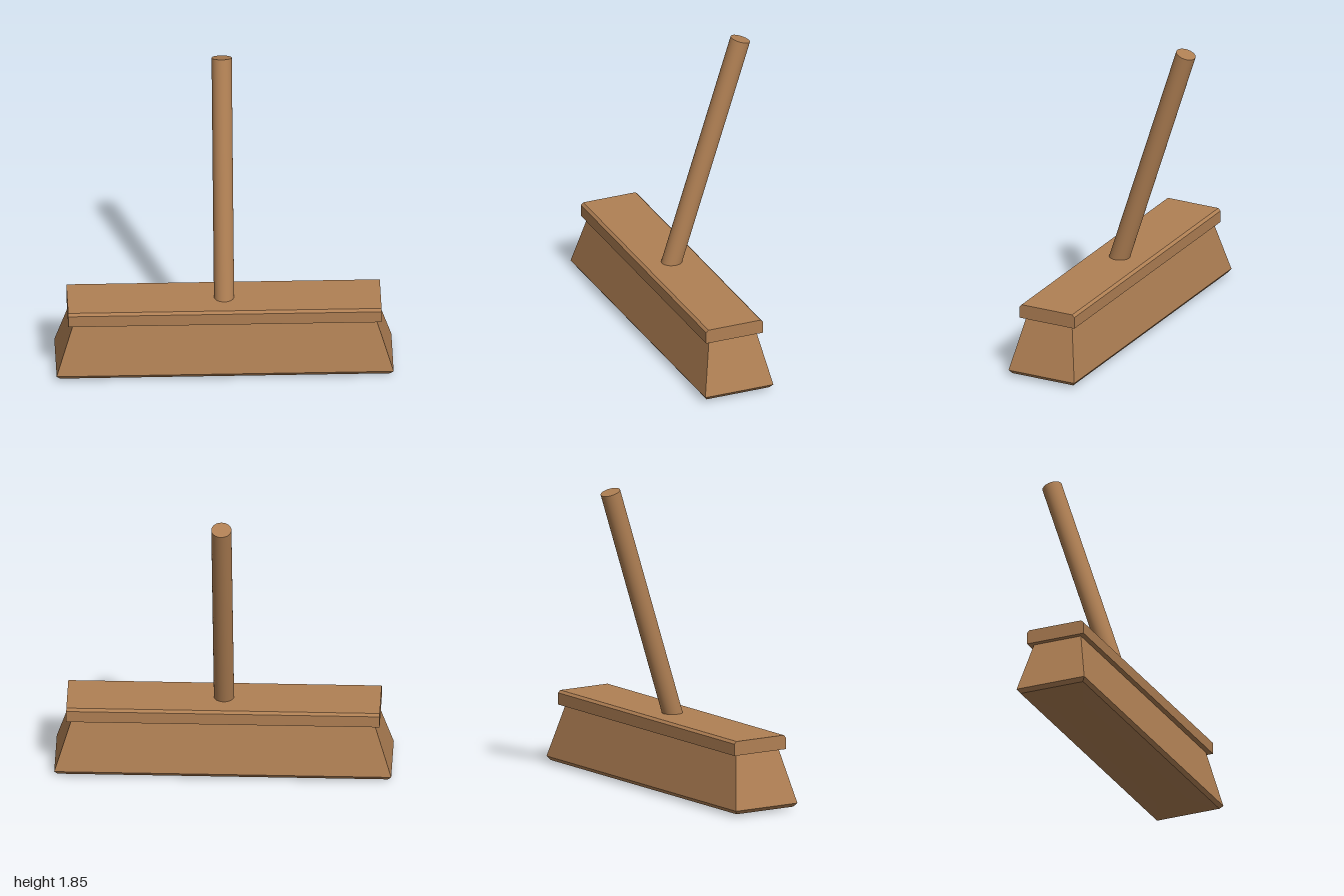
import * as THREE from 'three';

// Closed solid from rectangular rings [y, halfX, halfZ], listed bottom to top
function ringSolid(rings) {
  const pos = [];
  const loops = rings.map(([y, a, b]) => [[-a, y, b], [a, y, b], [a, y, -b], [-a, y, -b]]);
  const quad = (a, b, c, d) => pos.push(...a, ...b, ...c, ...a, ...c, ...d);
  for (let i = 0; i < loops.length - 1; i++) {
    const lo = loops[i], hi = loops[i + 1];
    for (let k = 0; k < 4; k++) {
      const n = (k + 1) % 4;
      quad(lo[k], lo[n], hi[n], hi[k]);
    }
  }
  const top = loops[loops.length - 1], bottom = loops[0];
  quad(top[0], top[1], top[2], top[3]);
  quad(bottom[3], bottom[2], bottom[1], bottom[0]);
  const geo = new THREE.BufferGeometry();
  geo.setAttribute('position', new THREE.Float32BufferAttribute(pos, 3));
  geo.computeVertexNormals();
  return geo;
}

export function createModel() {
  const group = new THREE.Group();
  const wood = new THREE.MeshStandardMaterial({ color: 0xb08054 });
  wood.name = 'warmWood';
  const headZ = 0.14;

  const add = (name, geo) => {
    const mesh = new THREE.Mesh(geo, wood);
    mesh.name = name;
    group.add(mesh);
    return mesh;
  };

  // Flared bristle block with a bevelled rim and a slightly bulging underside
  add('bristles', ringSolid([
    [0, 0.4, 0.04],
    [0.004, 0.74, 0.1],
    [0.015, 0.98, 0.203],
    [0.038, 1, 0.22],
    [0.37, 0.895, 0.15],
  ])).position.z = headZ;

  // Wooden head: its long top edges are chamfered
  const w = 0.184, c = 0.015, y0 = 0.357, y1 = 0.443;
  const profile = new THREE.Shape([
    [-w, y0], [w, y0], [w, y1 - c], [w - c, y1], [c - w, y1], [-w, y1 - c],
  ].map(([x, y]) => new THREE.Vector2(x, y)));
  const headGeo = new THREE.ExtrudeGeometry(profile, { depth: 1.86, bevelEnabled: false });
  headGeo.translate(0, 0, -0.93).rotateY(Math.PI / 2);
  add('head', headGeo).position.z = headZ;

  // Handle leaning backwards out of the head
  const foot = new THREE.Vector3(0, 0.39, 0.159);
  const tip = new THREE.Vector3(0, 1.827, -0.302);
  const dir = tip.clone().sub(foot);
  const handle = add('handle', new THREE.CylinderGeometry(0.06, 0.06, dir.length(), 32));
  handle.position.copy(foot).add(tip).multiplyScalar(0.5);
  handle.quaternion.setFromUnitVectors(new THREE.Vector3(0, 1, 0), dir.normalize());

  return group;
}
